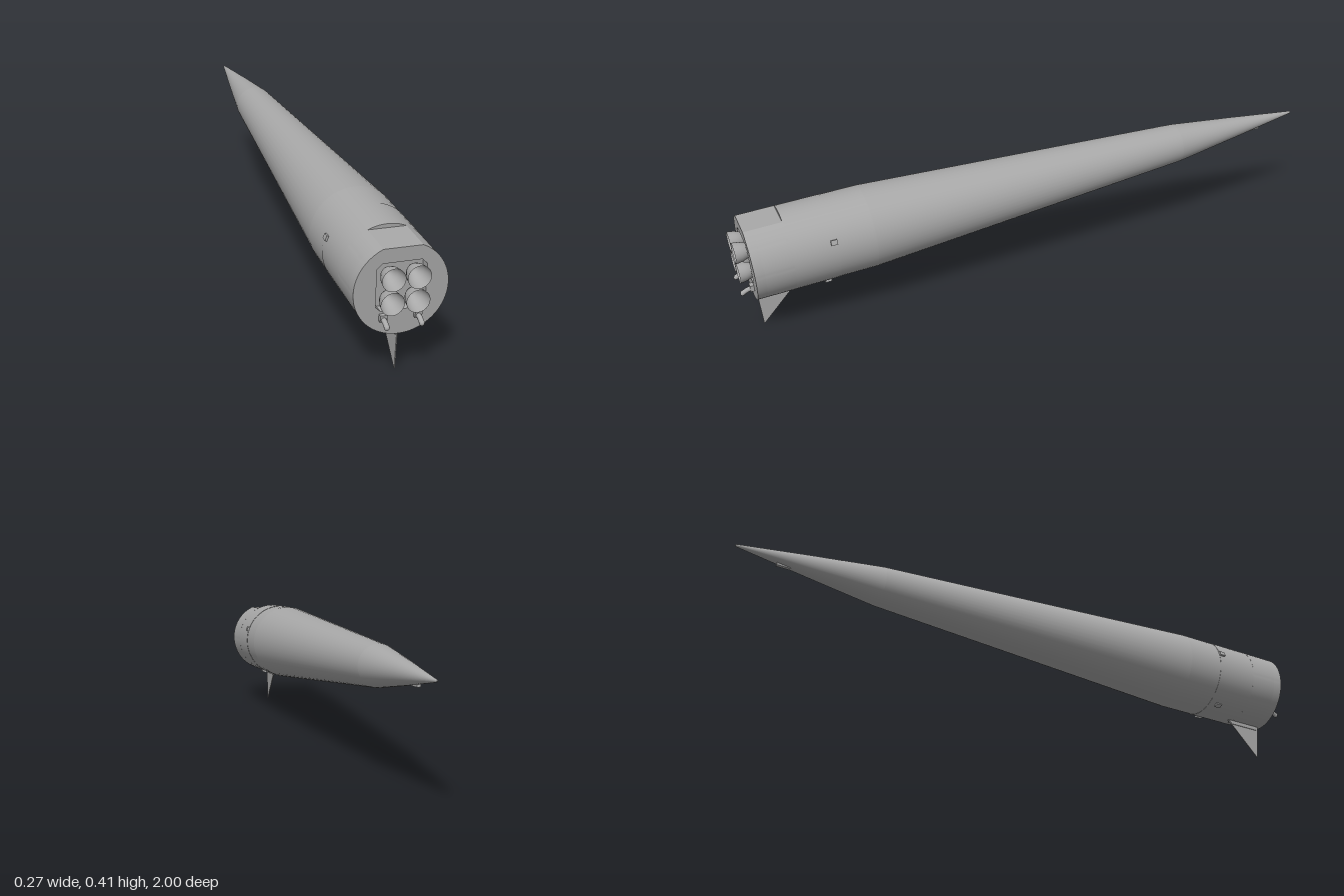
import * as THREE from 'three';
import { toCreasedNormals } from 'three/addons/utils/BufferGeometryUtils.js';

const R = 0.133;      // hull radius at the tail
const TILT = 0.0618;  // the long axis dips towards the tail
const AXIS_Y = 0.309;

export function createModel() {
  const model = new THREE.Group();
  const rocket = new THREE.Group();
  rocket.name = 'rocket';
  rocket.position.y = AXIS_Y;
  rocket.rotation.x = TILT;
  model.add(rocket);

  const hullGrey = new THREE.MeshStandardMaterial({ color: 0xa8a8a8, side: THREE.DoubleSide });
  hullGrey.name = 'hull grey';

  const add = (name, geometry, x = 0, y = 0, z = 0) => {
    const mesh = new THREE.Mesh(geometry, hullGrey);
    mesh.name = name;
    mesh.position.set(x, y, z);
    rocket.add(mesh);
    return mesh;
  };
  // Surface of revolution about z, from [radius, z] pairs
  const turned = (pairs, segments = 48) =>
    new THREE.LatheGeometry(pairs.map(([r, z]) => new THREE.Vector2(r, z)), segments).rotateX(Math.PI / 2);

  // Hull sections, each with a crisp edge to the next
  add('noseCone', turned([[0, -1.002], [0.004, -0.998], [0.036, -0.76], [0.065, -0.53]]));
  add('taperedBody', turned([[0.065, -0.53], [0.132, 0.58]]));
  add('adapterRing', turned([[0.132, 0.58], [0.132, 0.7]]));
  add('engineSection', turned([[R, 0.7], [R, 0.84]]));
  add('sectionLip', turned([[0.13, 0.7], [R, 0.7]]));
  add('stepWall', new THREE.CircleGeometry(R, 48), 0, 0, 0.84);

  // Tail section with a flat cut along the top
  const tailShape = () => {
    const cut = Math.asin(0.121 / R);
    const shape = new THREE.Shape();
    shape.absarc(0, 0, R, Math.PI - cut, Math.PI * 2 + cut, false);
    shape.closePath();
    return shape;
  };
  const extrude = (shape, depth) => toCreasedNormals(
    new THREE.ExtrudeGeometry(shape, { depth, bevelEnabled: false, curveSegments: 44 }), 0.4);
  add('tailSection', extrude(tailShape(), 0.09), 0, 0, 0.84);

  // Rear plate with a chamfered square recess for the engines
  const rearPlate = tailShape();
  const h = 0.07, c = 0.055, cy = 0.0095;
  rearPlate.holes.push(new THREE.Path(
    [[-h, -c], [-h, c], [-c, h], [c, h], [h, c], [h, -c], [c, -h], [-c, -h]]
      .map(([x, y]) => new THREE.Vector2(x, y + cy))));
  add('rearPlate', extrude(rearPlate, 0.03), 0, 0, 0.93);

  // Four engine bells
  const bell = turned([[0, 0.934], [0.006, 0.934], [0.014, 0.942], [0.024, 0.958],
    [0.03, 0.975], [0.033, 0.996]], 32);
  for (const x of [-0.0355, 0.0355]) {
    for (const y of [-0.0235, 0.0465]) add('engineBell', bell, x, y, 0);
  }

  for (const side of [-1, 1]) {
    // Exhaust pipes below the engines
    add('exhaustBlock', new THREE.BoxGeometry(0.02, 0.02, 0.014), side * 0.049, -0.077, 0.965);
    const path = new THREE.CatmullRomCurve3([
      new THREE.Vector3(0, -0.078, 0.955),
      new THREE.Vector3(0, -0.082, 0.98),
      new THREE.Vector3(0, -0.09, 0.998),
    ]);
    add('exhaustPipe', new THREE.TubeGeometry(path, 8, 0.0075, 12), side * 0.049);
    add('exhaustEnd', new THREE.SphereGeometry(0.0075, 12, 8), side * 0.049, -0.09, 0.996);

    // Small lugs around the hull, two on the sides and two below
    for (const [angle, z] of [[0.36, 0.71], [-1.1, 0.735]]) {
      const lug = add('hullLug', new THREE.BoxGeometry(0.012, 0.016, 0.02),
        side * Math.cos(angle) * R, Math.sin(angle) * R, z);
      lug.rotation.z = side * angle;
    }
  }

  // Ventral fin with a thicker root fairing, drawn as (z, y) outlines
  const plate = (points, thickness) => new THREE.ExtrudeGeometry(
    new THREE.Shape(points.map(([z, y]) => new THREE.Vector2(-z, y))),
    { depth: thickness, bevelEnabled: false })
    .translate(0, 0, -thickness / 2).rotateY(Math.PI / 2);
  add('tailFin', plate([[0.95, -0.12], [0.82, -0.12], [0.822, -0.133], [0.944, -0.25], [0.946, -0.25]], 0.003));
  add('finFairing', plate([[0.944, -0.125], [0.82, -0.125], [0.822, -0.133], [0.835, -0.146], [0.944, -0.146]], 0.008));

  // Slim lug under the nose
  add('noseLug', new THREE.BoxGeometry(0.012, 0.012, 0.045), 0, -0.023, -0.845);

  return model;
}
